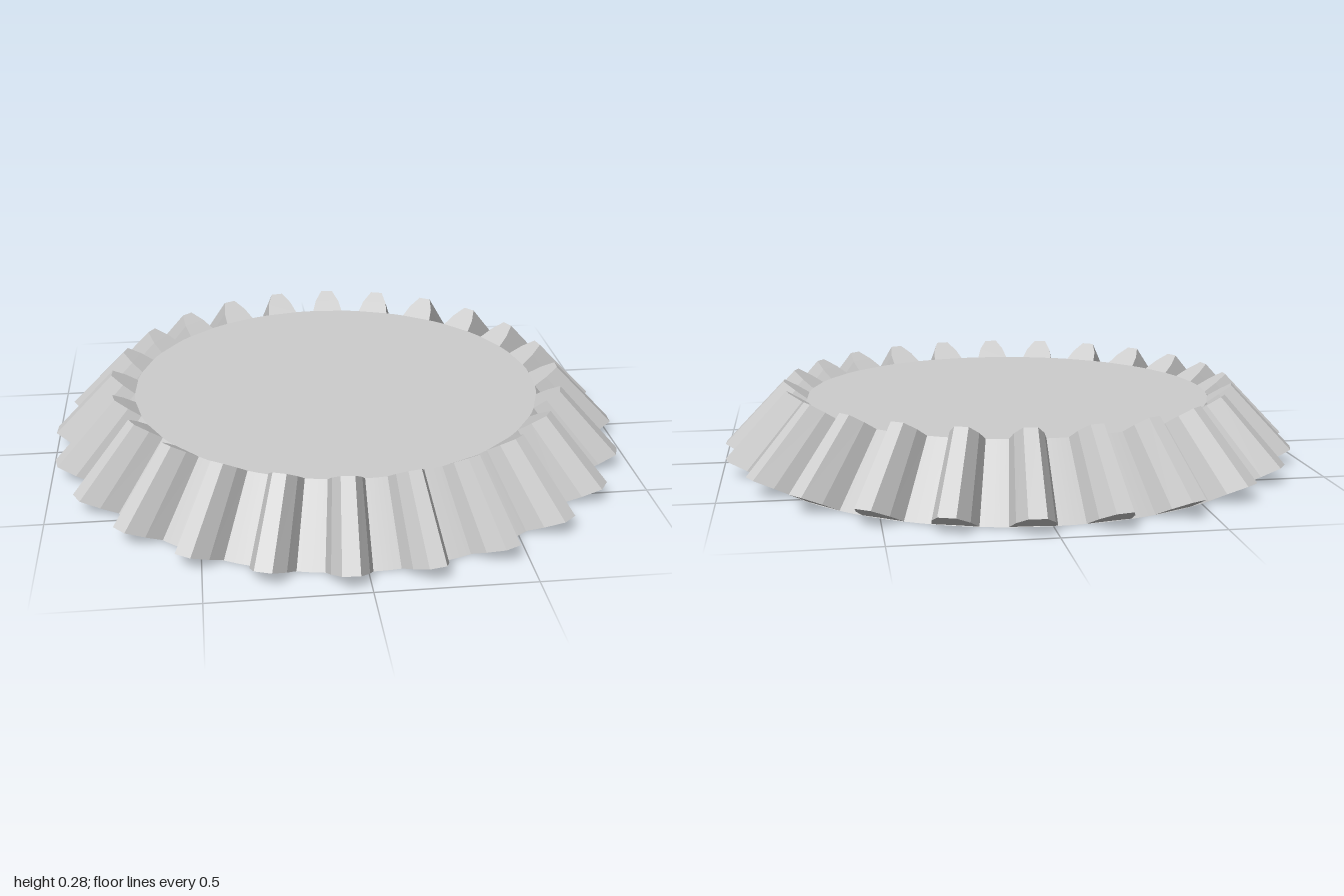
import * as THREE from 'three';

const TEETH = 24;
const HEIGHT = 0.222;
const ROOT_OUTER = 0.89;
const ROOT_INNER = 0.71;

// One bevel tooth pointing to +z, lofted between its outer and inner ends.
function toothGeometry() {
  // [radius, height, half width] from root to tip
  const outerHalf = [[0.888, 0, 0.073], [0.945, 0.03, 0.058], [1.0, 0.058, 0.028]];
  const innerHalf = [[0.708, 0.221, 0.058], [0.75, 0.25, 0.046], [0.79, 0.277, 0.022]];
  const point = ([r, y, w], side) => {
    const a = side * w / r;
    return [r * Math.sin(a), y, r * Math.cos(a)];
  };
  const loop = half => [
    ...half.map(p => point(p, -1)),
    ...[...half].reverse().map(p => point(p, 1)),
  ];
  const outer = loop(outerHalf), inner = loop(innerHalf);
  const positions = [];
  const quad = (a, b, c, d) => positions.push(...a, ...b, ...c, ...a, ...c, ...d);

  // flanks and top land
  for (let i = 0; i < 5; i++) quad(outer[i], outer[i + 1], inner[i + 1], inner[i]);
  // end faces, each split at mid height
  for (let i = 0; i < 2; i++) {
    quad(outer[5 - i], outer[4 - i], outer[i + 1], outer[i]);
    quad(inner[i], inner[i + 1], inner[4 - i], inner[5 - i]);
  }

  const geometry = new THREE.BufferGeometry();
  geometry.setAttribute('position', new THREE.Float32BufferAttribute(positions, 3));
  geometry.computeVertexNormals();
  return geometry;
}

export function createModel() {
  const gear = new THREE.Group();
  gear.name = 'bevelGear';

  const steel = new THREE.MeshStandardMaterial({ color: 0xcccccc });
  steel.name = 'light grey steel';

  // solid conical blank with flat top and bottom
  const body = new THREE.Mesh(
    new THREE.CylinderGeometry(ROOT_INNER, ROOT_OUTER, HEIGHT, 96), steel);
  body.name = 'gearBody';
  body.position.y = HEIGHT / 2;
  gear.add(body);

  // ring of teeth, turned a quarter pitch off the axis
  const geometry = toothGeometry();
  const pitch = 2 * Math.PI / TEETH;
  for (let i = 0; i < TEETH; i++) {
    const tooth = new THREE.Mesh(geometry, steel);
    tooth.name = `tooth${i + 1}`;
    tooth.rotation.y = (i - 0.25) * pitch;
    gear.add(tooth);
  }
  return gear;
}
